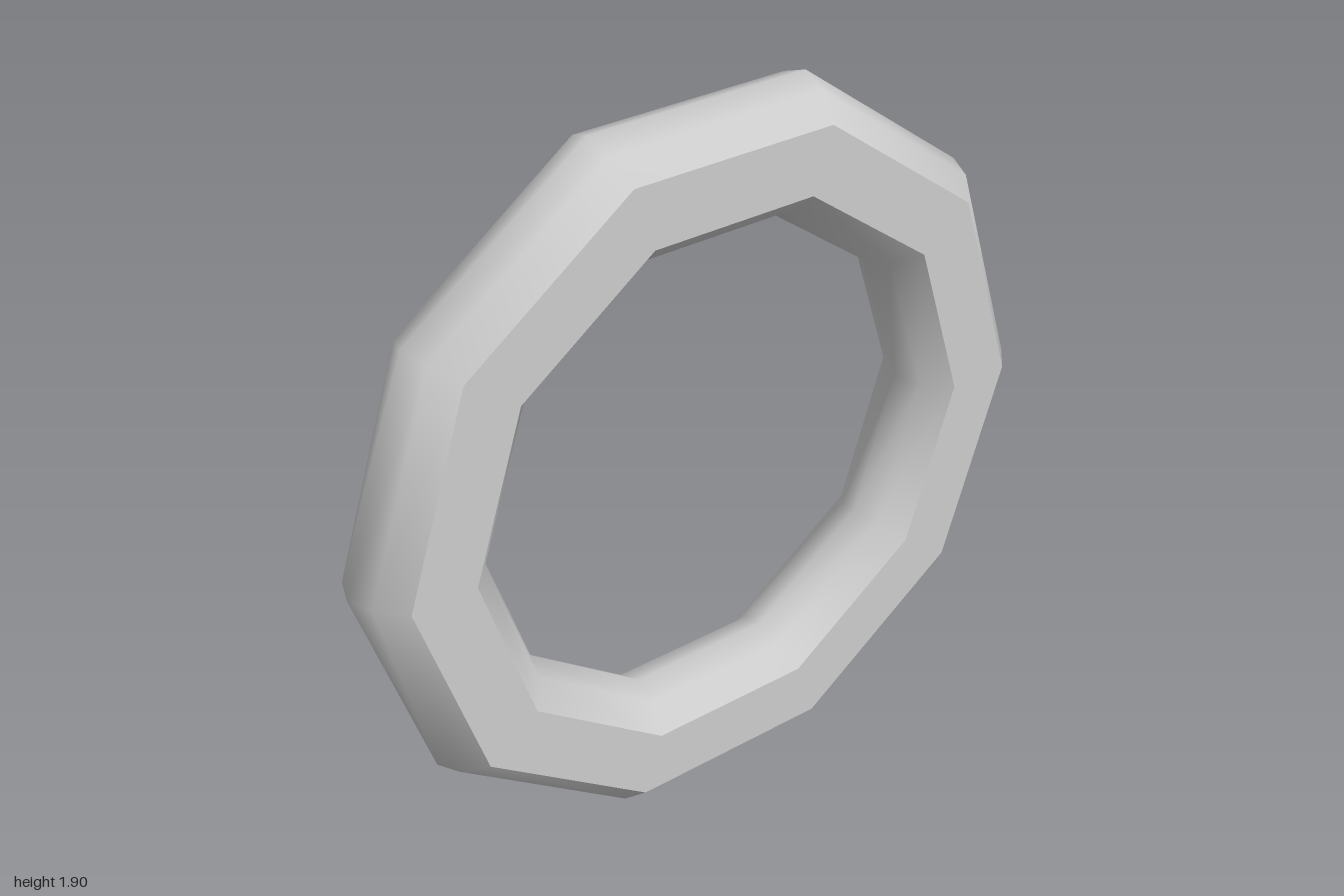
import * as THREE from 'three';

export function createModel() {
  const group = new THREE.Group();
  group.name = 'ring';
  const material = new THREE.MeshStandardMaterial({ color: 0xcccccc });
  const sides = 10;
  const lift = Math.sin(THREE.MathUtils.degToRad(72)); // height of the decagon's flat edge

  // Cross-section points are [radius, x]; each band is smooth, with sharp edges between bands
  const bands = {
    outerBand: [[0.903, -0.14], [0.974, -0.07], [1, 0], [0.974, 0.07], [0.912, 0.137]],
    leftFace: [[0.912, 0.137], [0.738, 0.137]],
    innerBand: [[0.738, 0.137], [0.676, 0.07], [0.65, 0], [0.676, -0.07], [0.747, -0.14]],
    rightFace: [[0.747, -0.14], [0.903, -0.14]],
  };

  for (const [name, profile] of Object.entries(bands)) {
    const points = profile.map(([r, x]) => new THREE.Vector2(r, x));
    const geometry = new THREE.LatheGeometry(points, sides);
    // Stand the ring upright with its axis along x
    geometry.rotateZ(-Math.PI / 2).translate(0, lift, 0);
    const mesh = new THREE.Mesh(geometry, material);
    mesh.name = name;
    group.add(mesh);
  }
  return group;
}
